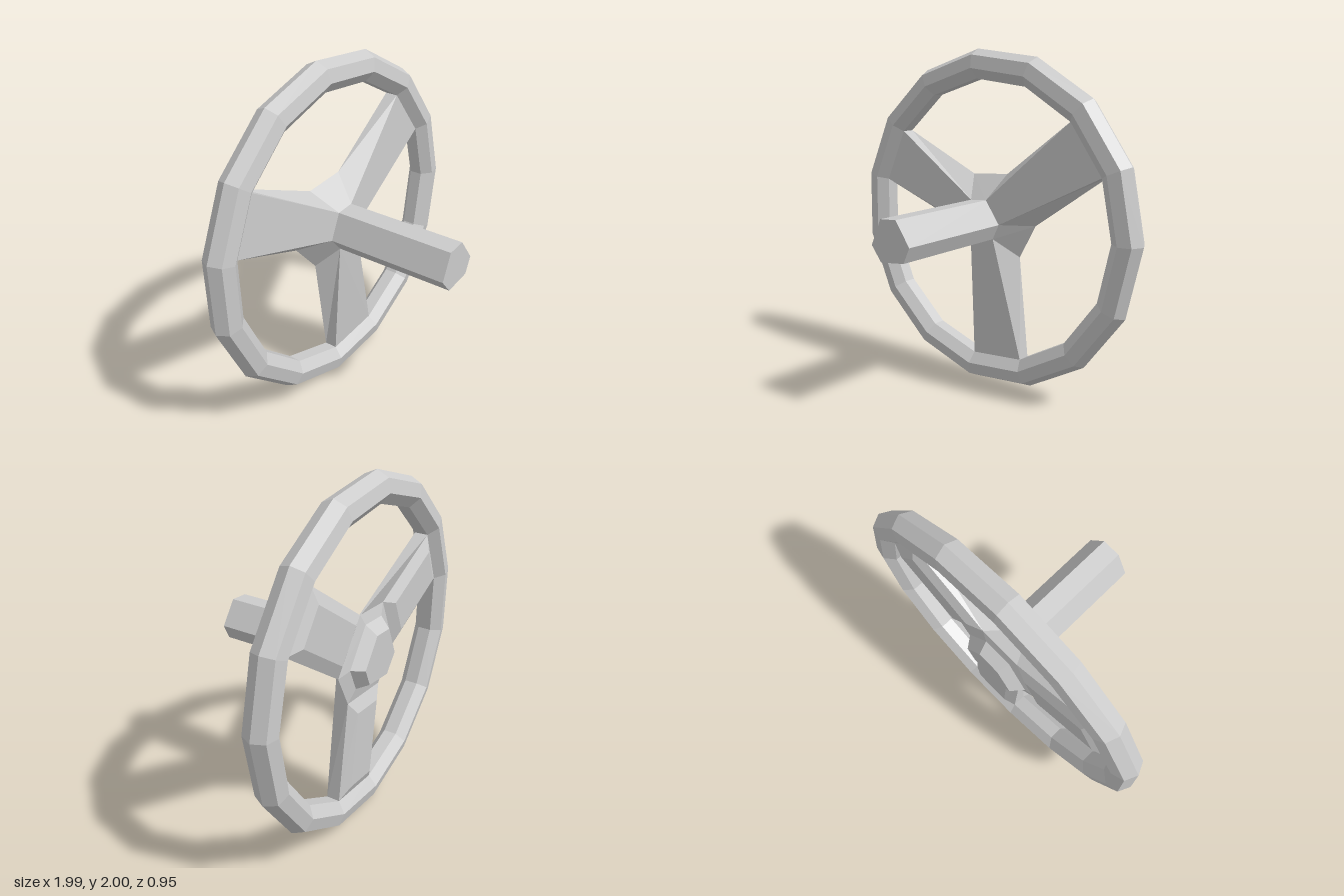
import * as THREE from 'three';

const CX = -0.011, CY = 1.0;            // wheel axis
const RIM_Z = -0.355, RIM_R = 0.9165, TUBE_R = 0.089, TUBE_SIDES = 7, RIM_SIDES = 15;
const FRONT_Z = -0.262;                 // where the shaft meets the hub

const material = new THREE.MeshStandardMaterial({ color: 0xcccccc, flatShading: true });

// Flat-faced solid through matching loops, counterclockwise from the front, ordered front to back
function loft(name, loops) {
  const positions = [];
  const tri = (...corners) => corners.forEach(c => positions.push(...c));
  const n = loops[0].length;
  for (let k = 0; k + 1 < loops.length; k++) {
    const a = loops[k], b = loops[k + 1];
    for (let i = 0; i < n; i++) {
      const j = (i + 1) % n;
      tri(a[i], b[i], b[j]);
      tri(a[i], b[j], a[j]);
    }
  }
  const front = loops[0], back = loops[loops.length - 1];
  for (let i = 1; i + 1 < n; i++) {
    tri(front[0], front[i], front[i + 1]);
    tri(back[0], back[i + 1], back[i]);
  }
  const geometry = new THREE.BufferGeometry();
  geometry.setAttribute('position', new THREE.Float32BufferAttribute(positions, 3));
  geometry.computeVertexNormals();
  const mesh = new THREE.Mesh(geometry, material);
  mesh.name = name;
  return mesh;
}

// Irregular hexagons: the shaft section and the wider hub outline
const shaftHex = [[0.12, 1.01], [0.024, 1.143], [-0.088, 1.133], [-0.157, 0.984], [-0.088, 0.899], [0.077, 0.92]];
const hubHex = [[0.285, 1.005], [0.077, 1.287], [-0.173, 1.266], [-0.316, 0.952], [-0.162, 0.771], [0.178, 0.803]];

const atZ = (points, z, s = 1) => points.map(([x, y]) => [CX + (x - CX) * s, CY + (y - CY) * s, z]);

// Corner of the rim's inner facet
const facetAngle = Math.PI * (1 - 1 / TUBE_SIDES);
const innerR = RIM_R + TUBE_R * Math.cos(facetAngle);
const innerZ = TUBE_R * Math.sin(facetAngle);
const rimPoint = (step, z) => {
  const a = step * 2 * Math.PI / RIM_SIDES;
  return [CX + innerR * Math.cos(a), CY + innerR * Math.sin(a), z];
};

// Shrinks a four-cornered loop along and across, and moves it to depth z
function inset([p, q, r, s], u, v, z) {
  const mix = (a, b, t) => a.map((c, i) => c + (b[i] - c) * t);
  const at = (along, across) => {
    const [x, y] = mix(mix(p, q, along), mix(s, r, along), across);
    return [x, y, z];
  };
  return [at(u, v), at(1 - u, v), at(1 - u, 1 - v), at(u, 1 - v)];
}

export function createModel() {
  const wheel = new THREE.Group();
  wheel.name = 'steeringWheel';

  // Rim
  const rim = new THREE.Mesh(new THREE.TorusGeometry(RIM_R, TUBE_R, TUBE_SIDES, RIM_SIDES), material);
  rim.name = 'rim';
  rim.position.set(CX, CY, RIM_Z);
  wheel.add(rim);

  // Shaft, hub and back boss
  const backZ = RIM_Z - innerZ;
  const bossBase = atZ(shaftHex, -0.41, 1.55);
  wheel.add(loft('shaft', [atZ(shaftHex, 0.475), atZ(shaftHex, FRONT_Z)]));
  wheel.add(loft('hub', [atZ(shaftHex, FRONT_Z), atZ(hubHex, backZ), bossBase]));
  wheel.add(loft('boss', [bossBase, atZ(shaftHex, -0.475, 1.18)]));

  // Three tapering spokes with a raised panel at the back
  const hubFront = atZ(shaftHex, FRONT_Z), hubBack = atZ(hubHex, backZ);
  for (let i = 0; i < 3; i++) {
    const step = 1 + 5 * i;
    const ring = (hub, z) => [hub[2 * i], rimPoint(step, z), rimPoint(step + 1, z), hub[2 * i + 1]];
    const front = ring(hubFront, RIM_Z + innerZ);
    const back = ring(hubBack, backZ);
    wheel.add(loft('spoke' + (i + 1), [front, back, inset(back, 0.12, 0.19, -0.427)]));
  }
  return wheel;
}
